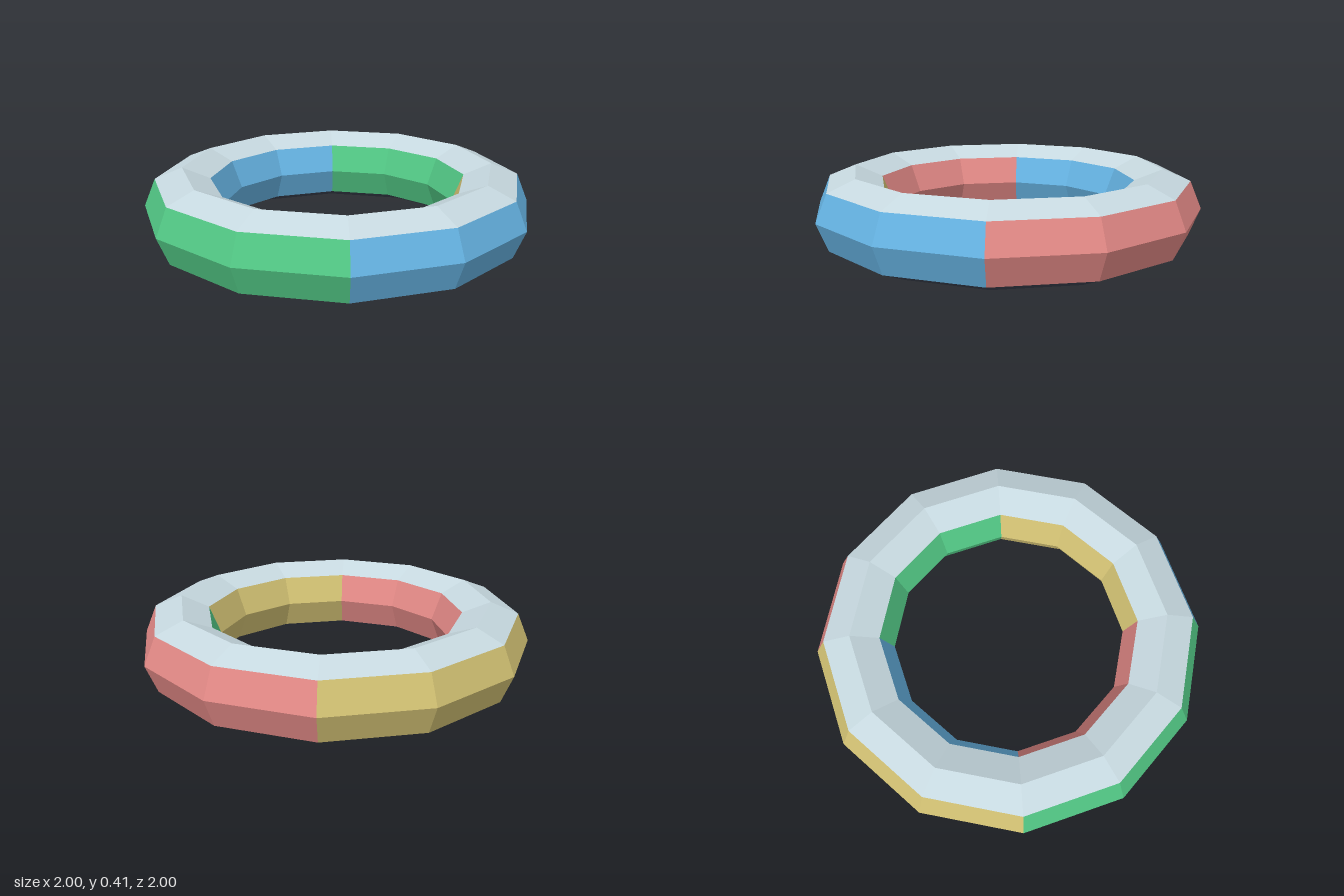
import * as THREE from 'three';

const SIDES = 8;      // facets around the tube
const SEGMENTS = 12;  // facets around the ring
const RADIUS = 0.815;
const TUBE = 0.205;

const mat = (name, color) => {
  const m = new THREE.MeshStandardMaterial({ color });
  m.name = name;
  return m;
};

export function createModel() {
  const materials = [
    mat('red', 0xe38986),
    mat('yellow', 0xd2c173),
    mat('green', 0x52c885),
    mat('blue', 0x66b4e4),
    mat('paleGrey', 0xc6d8df),
    mat('darkSlate', 0x3d4452),
  ];

  // Faceted ring lying flat on the ground
  const geometry = new THREE.TorusGeometry(RADIUS, TUBE, SIDES, SEGMENTS)
    .rotateX(-Math.PI / 2)
    .rotateY(THREE.MathUtils.degToRad(11.3))
    .translate(0, TUBE, 0)
    .toNonIndexed();
  geometry.computeVertexNormals();

  // Colour of each facet: pale top, dark underside, and quarter-ring bands
  // whose inner wall takes the colour of the opposite outer wall
  geometry.clearGroups();
  for (let side = 0; side < SIDES; side++) {
    for (let seg = 0; seg < SEGMENTS; seg++) {
      const quarter = Math.floor(((seg + 2) % SEGMENTS) / 3);
      let colour;
      if (side === 1 || side === 2) colour = 4;
      else if (side === 5 || side === 6) colour = 5;
      else if (side === 3 || side === 4) colour = (quarter + 2) % 4;
      else colour = quarter;
      geometry.addGroup((side * SEGMENTS + seg) * 6, 6, colour);
    }
  }

  const ring = new THREE.Mesh(geometry, materials);
  ring.name = 'ring';
  const model = new THREE.Group();
  model.name = 'facetedRing';
  model.add(ring);
  return model;
}
